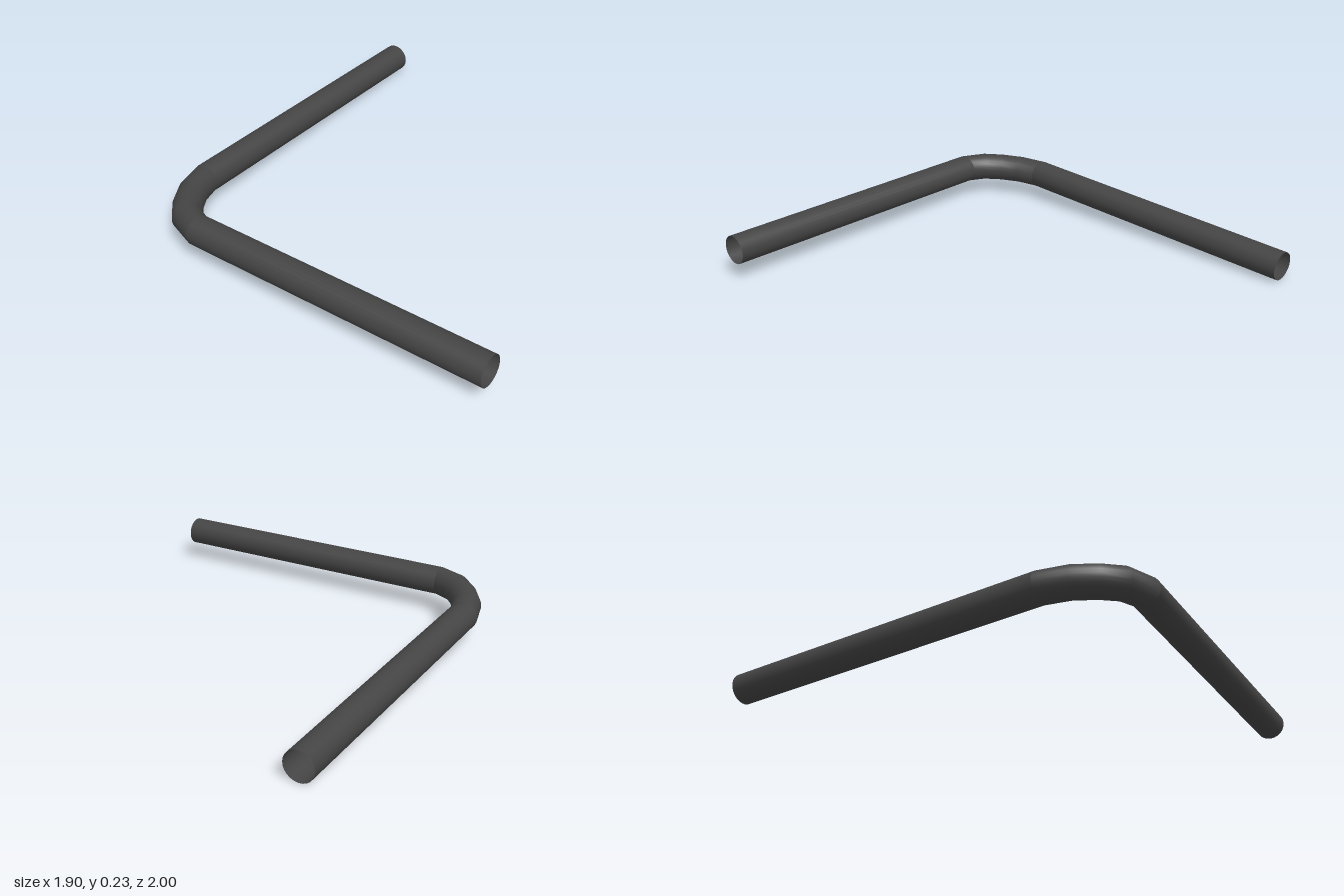
import * as THREE from 'three';

const RADIUS = 0.0725;
const SIDES = 24;
const UP = new THREE.Vector3(0, 1, 0);

// Open tube through the given centres, one ring across each direction
function sweep(centres, directions) {
  const positions = [], index = [];
  centres.forEach((c, i) => {
    const side = new THREE.Vector3().crossVectors(directions[i], UP).normalize();
    const up = new THREE.Vector3().crossVectors(side, directions[i]).normalize();
    for (let j = 0; j < SIDES; j++) {
      const a = (j / SIDES) * Math.PI * 2;
      const p = c.clone()
        .addScaledVector(side, RADIUS * Math.cos(a))
        .addScaledVector(up, RADIUS * Math.sin(a));
      positions.push(p.x, p.y, p.z);
      if (i > 0) {
        const k = (j + 1) % SIDES, r0 = (i - 1) * SIDES, r1 = i * SIDES;
        index.push(r0 + j, r1 + j, r0 + k, r0 + k, r1 + j, r1 + k);
      }
    }
  });
  const geometry = new THREE.BufferGeometry();
  geometry.setAttribute('position', new THREE.Float32BufferAttribute(positions, 3));
  geometry.setIndex(index);
  geometry.computeVertexNormals();
  return geometry;
}

export function createModel() {
  const group = new THREE.Group();
  group.name = 'bentPipe';
  const material = new THREE.MeshStandardMaterial({ color: 0x444444, side: THREE.DoubleSide });

  // Centreline: level front run, rounded corner, gently falling side run
  const path = [
    [0.95, 0.156, 0.926],
    [-0.608, 0.156, 0.926],
    [-0.717, 0.152, 0.882],
    [-0.787, 0.147, 0.808],
    [-0.847, 0.141, 0.712],
    [-0.88, 0.136, 0.59],
    [-0.88, 0.074, -0.998],
  ].map((p) => new THREE.Vector3(...p));

  const last = path.length - 1;
  const heading = (a, b) => path[b].clone().sub(path[a]).normalize();
  const directions = path.map((_, i) => {
    if (i <= 1) return heading(0, 1);
    if (i >= last - 1) return heading(last - 1, last);
    return heading(i - 1, i + 1);
  });

  // Each part is a stretch of the centreline
  const parts = { frontPipe: [0, 1], elbow: [1, last - 1], sidePipe: [last - 1, last] };
  for (const [name, [from, to]] of Object.entries(parts)) {
    const geometry = sweep(path.slice(from, to + 1), directions.slice(from, to + 1));
    const mesh = new THREE.Mesh(geometry, material);
    mesh.name = name;
    group.add(mesh);
  }
  return group;
}
